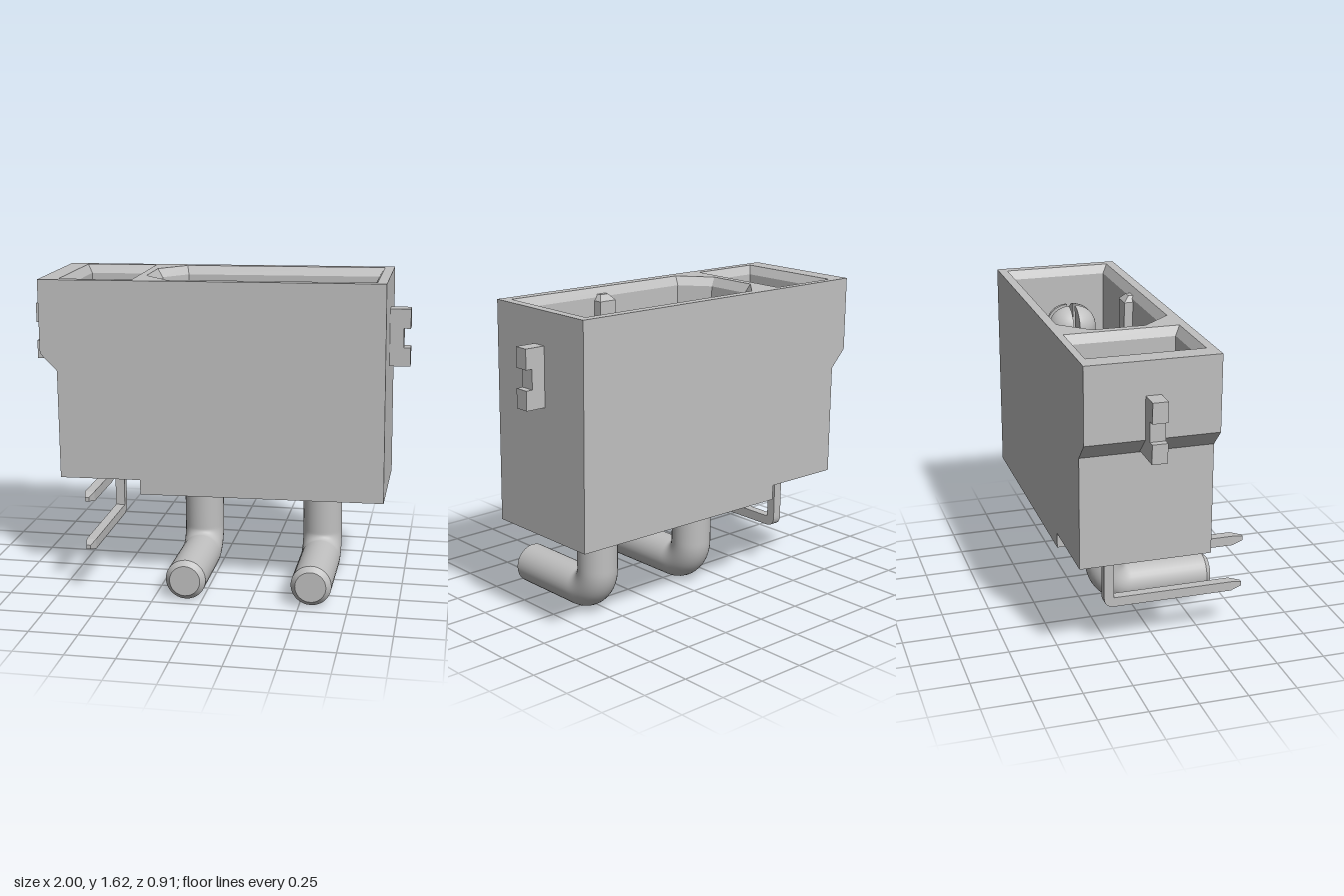
import * as THREE from 'three';
import { mergeGeometries } from 'three/addons/utils/BufferGeometryUtils.js';

const grey = new THREE.MeshStandardMaterial({ color: 0xc0c0c0, side: THREE.DoubleSide });
grey.name = 'plain grey';

const FRONT = 0.21, BACK = -0.457, TOP = 1.616, FLOOR = 0.72;

// Flat-shaded quads between successive rings of [x, y, z] points
function loft(rings, closed = true) {
  const pos = [];
  for (let k = 0; k + 1 < rings.length; k++) {
    const p = rings[k], q = rings[k + 1], n = p.length;
    for (let i = 0; i < (closed ? n : n - 1); i++) {
      const j = (i + 1) % n;
      pos.push(...p[i], ...q[i], ...p[j], ...p[j], ...q[i], ...q[j]);
    }
  }
  const g = new THREE.BufferGeometry();
  g.setAttribute('position', new THREE.Float32BufferAttribute(pos, 3));
  g.computeVertexNormals();
  return g;
}

const toShape = pts => new THREE.Shape(pts.map(p => new THREE.Vector2(p[0], p[1])));
const flipZ = ring => ring.map(([x, z]) => [x, -z]);
const atHeight = (ring, y) => ring.map(([x, z]) => [x, y, z]);

// Upward-facing plate from [x, z] points
function plate(ring, y, holes = []) {
  const s = toShape(flipZ(ring));
  s.holes = holes.map(h => toShape(flipZ(h)));
  return new THREE.ShapeGeometry(s).rotateX(-Math.PI / 2).translate(0, y, 0);
}

function add(parent, name, geometry) {
  const m = new THREE.Mesh(geometry, grey);
  m.name = name;
  parent.add(m);
  return m;
}

const rect = (x0, x1, z0, z1) => [[x0, z0], [x1, z0], [x1, z1], [x0, z1]];

// Rectangle with its two left corners cut off; d insets it
const keyed = d => [
  [-0.35 + d, -0.265 + d * 0.4], [-0.215 + d * 0.4, -0.41 + d], [0.858 - d, -0.41 + d],
  [0.858 - d, 0.16 - d], [-0.215 + d * 0.4, 0.16 - d], [-0.35 + d, 0.005 - d * 0.4]
];
const socket = d => rect(-0.778 + d, -0.392 - d, -0.42 + d, 0.165 - d);

// Housing: stepped outline, open top with two recessed cavities
function housing(parent) {
  const g = new THREE.Group();
  g.name = 'housing';
  const outline = [[-0.881, TOP], [-0.881, 1.231], [-0.793, 1.14], [-0.793, 0.567],
    [-0.364, 0.567], [-0.364, 0.489], [0.908, 0.489], [0.908, TOP]];
  const face = new THREE.ShapeGeometry(toShape(outline));
  add(g, 'frontWall', face.clone().translate(0, 0, FRONT));
  add(g, 'backWall', face.clone().rotateY(Math.PI).scale(1, 1, 1).applyMatrix4(
    new THREE.Matrix4().makeRotationY(Math.PI)).translate(0, 0, BACK));
  add(g, 'sidesAndUnderside', loft([FRONT, BACK].map(z => outline.map(([x, y]) => [x, y, z])), false));
  add(g, 'topRim', plate(rect(-0.881, 0.908, BACK, FRONT), TOP, [socket(0), keyed(0)]));
  add(g, 'signalCavity', loft([
    atHeight(socket(0), TOP), atHeight(socket(0.028), TOP - 0.045), atHeight(socket(0.028), 1.47),
    atHeight(socket(0.04), 1.47), atHeight(socket(0.04), FLOOR)]));
  add(g, 'signalCavityFloor', plate(socket(0.04), FLOOR));
  add(g, 'powerCavity', loft([
    atHeight(keyed(0), TOP), atHeight(keyed(0.028), TOP - 0.045), atHeight(keyed(0.028), FLOOR)]));
  add(g, 'powerCavityFloor', plate(keyed(0.028), FLOOR));

  // Polarising rib on the front wall of the larger cavity
  const rib = (x0, x1, z) => [[x0, 0.14], [x0, z], [x1, z], [x1, 0.14]].reverse();
  const top = atHeight(rib(0.29, 0.34, 0.115), 1.585);
  add(g, 'keyRib', loft([atHeight(rib(0.265, 0.365, 0.085), FLOOR),
    atHeight(rib(0.265, 0.365, 0.085), 1.555), top]));
  add(g, 'keyRibTop', plate(top.map(p => [p[0], p[2]]), 1.585));
  parent.add(g);
}

// Notched latch tab on each end
function latches(parent) {
  for (const s of [-1, 1]) {
    const inner = s < 0 ? 0.79 : 0.88;
    const pts = [[inner, 1.147], [1, 1.147], [1, 1.245], [0.965, 1.245],
      [0.965, 1.345], [1, 1.345], [1, 1.447], [inner, 1.447]];
    const geo = new THREE.ExtrudeGeometry(toShape(pts.map(([x, y]) => [s * x + 0.0155, y])),
      { depth: 0.077, bevelEnabled: false }).translate(0, 0, -0.162);
    add(parent, s < 0 ? 'rightLatch' : 'leftLatch', geo);
  }
}

// Round power contact: slotted dome above, bent solder leg below
function powerContact(parent, x) {
  const g = new THREE.Group();
  g.name = 'powerContact';
  g.position.set(x, 0, -0.128);
  const R = 0.13, r = 0.104, legY = 0.107, bend = 0.13, slotY = 1.22;
  add(g, 'barrel', new THREE.CylinderGeometry(R, R, slotY - 0.6, 40).translate(0, (slotY + 0.6) / 2, 0));

  // Four domed fingers separated by a cross slot
  const gap = 0.017, f = R - gap, profile = [new THREE.Vector2(f, slotY)];
  for (let i = 0; i <= 10; i++) {
    const a = i / 10 * Math.PI / 2;
    profile.push(new THREE.Vector2(f * Math.cos(a), 1.37 + 0.11 * Math.sin(a)));
  }
  const side = new THREE.ShapeGeometry(new THREE.Shape([new THREE.Vector2(0, slotY), ...profile]));
  const finger = mergeGeometries([
    new THREE.LatheGeometry(profile, 10, 0, Math.PI / 2),
    side, side.clone().rotateY(-Math.PI / 2)]).translate(gap, 0, gap);
  for (let i = 0; i < 4; i++) add(g, 'finger', finger).rotation.y = i * Math.PI / 2;

  const path = new THREE.CurvePath();
  const v = (y, z) => new THREE.Vector3(0, y, z);
  const k = bend * 0.448;
  path.add(new THREE.LineCurve3(v(0.6, 0), v(legY + bend, 0)));
  path.add(new THREE.CubicBezierCurve3(v(legY + bend, 0), v(legY + k, 0), v(legY, k), v(legY, bend)));
  path.add(new THREE.LineCurve3(v(legY, bend), v(legY, 0.55)));
  add(g, 'leg', new THREE.TubeGeometry(path, 64, r, 32));
  add(g, 'legTip', new THREE.CylinderGeometry(r - 0.025, r, 0.028, 32)
    .rotateX(Math.PI / 2).translate(0, legY, 0.564));
  parent.add(g);
}

// Square signal pin: bent strip with tapered ends
function signalPin(parent, z, y) {
  const g = new THREE.Group();
  g.name = 'signalPin';
  g.position.x = -0.586;
  const h = 0.025, top = 1.3, end = 0.395, b = 0.055;
  const s = new THREE.Shape();
  s.moveTo(z - h, top);
  s.lineTo(z - h, y - h + b);
  s.quadraticCurveTo(z - h, y - h, z - h + b, y - h);
  s.lineTo(end, y - h);
  s.lineTo(end, y + h);
  s.lineTo(z + h, y + h);
  s.lineTo(z + h, top);
  add(g, 'strip', new THREE.ExtrudeGeometry(s, { depth: 2 * h, bevelEnabled: false, curveSegments: 8 })
    .rotateY(-Math.PI / 2).translate(h, 0, 0));
  const tip = new THREE.CylinderGeometry(h * 0.6, h * Math.SQRT2, 0.06, 4, 1).toNonIndexed();
  tip.computeVertexNormals();
  tip.rotateY(Math.PI / 4);
  add(g, 'topTip', tip.clone().translate(0, top + 0.03, z));
  add(g, 'solderTip', tip.clone().rotateX(Math.PI / 2).translate(0, y, end + 0.03));
  parent.add(g);
}

export function createModel() {
  const model = new THREE.Group();
  model.name = 'connector';
  const body = new THREE.Group();
  body.name = 'tiltedAssembly';
  body.rotation.z = 0.012;
  housing(body);
  latches(body);
  for (const x of [-0.085, 0.562]) powerContact(body, x);
  signalPin(body, -0.257, 0.268);
  signalPin(body, 0, 0.525);
  model.add(body);
  return model;
}
